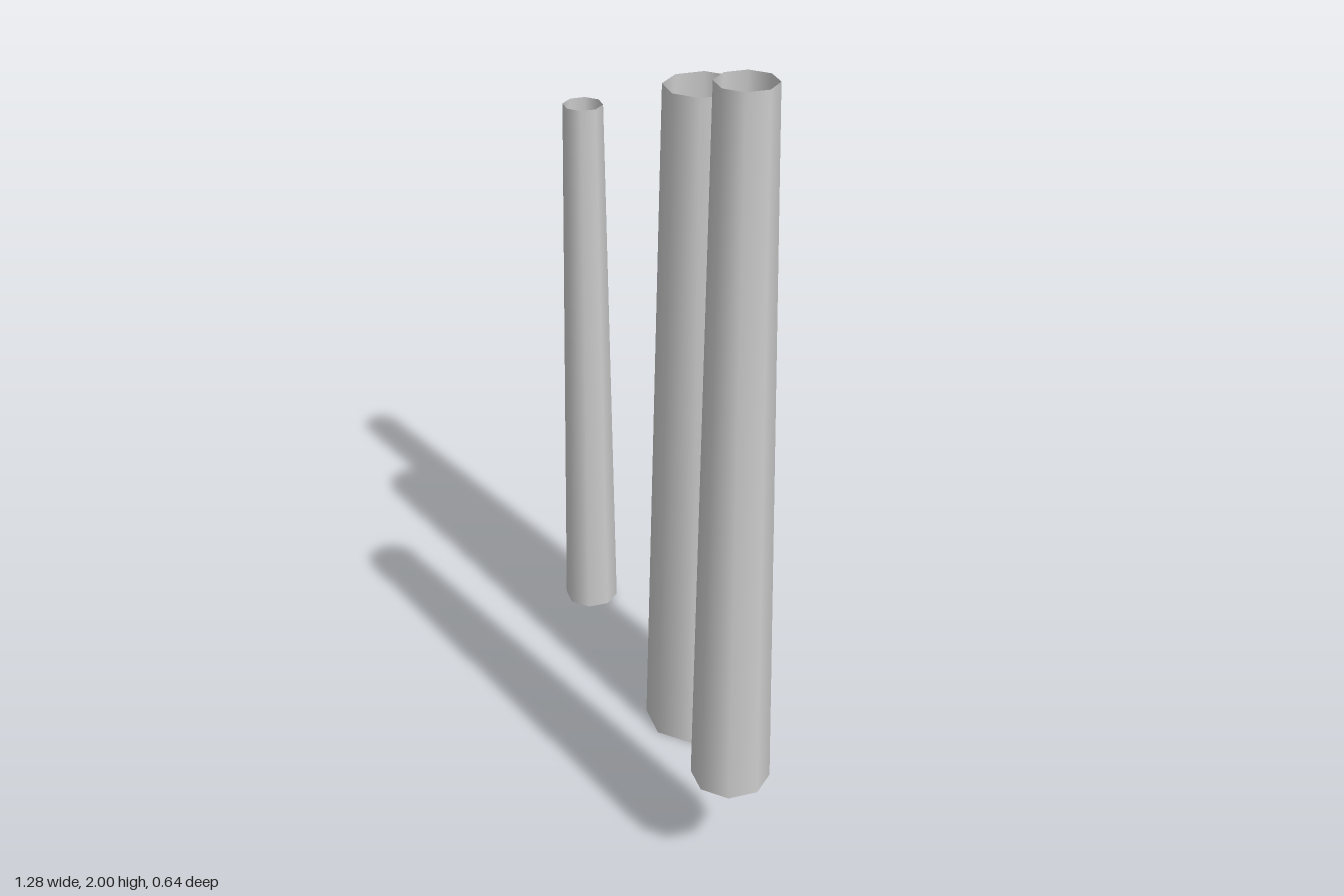
import * as THREE from 'three';

// Three open, tapered eight-sided tubes
export function createModel() {
  const group = new THREE.Group();
  const grey = new THREE.MeshStandardMaterial({ color: 0xcccccc, side: THREE.DoubleSide });
  grey.name = 'light grey';

  const addTube = (name, x, z, bottom, top, bottomRadius, topRadius) => {
    const geometry = new THREE.CylinderGeometry(topRadius, bottomRadius, top - bottom, 8, 1, true);
    const tube = new THREE.Mesh(geometry, grey);
    tube.name = name;
    tube.position.set(x, (bottom + top) / 2, z);
    group.add(tube);
  };

  addTube('centreTube', 0.047, -0.108, 0, 1.784, 0.13, 0.092);
  addTube('leftTube', 0.544, 0.225, 0.285, 2, 0.0935, 0.067);
  addTube('rightTube', -0.567, -0.248, 0.012, 1.535, 0.0745, 0.053);

  return group;
}
